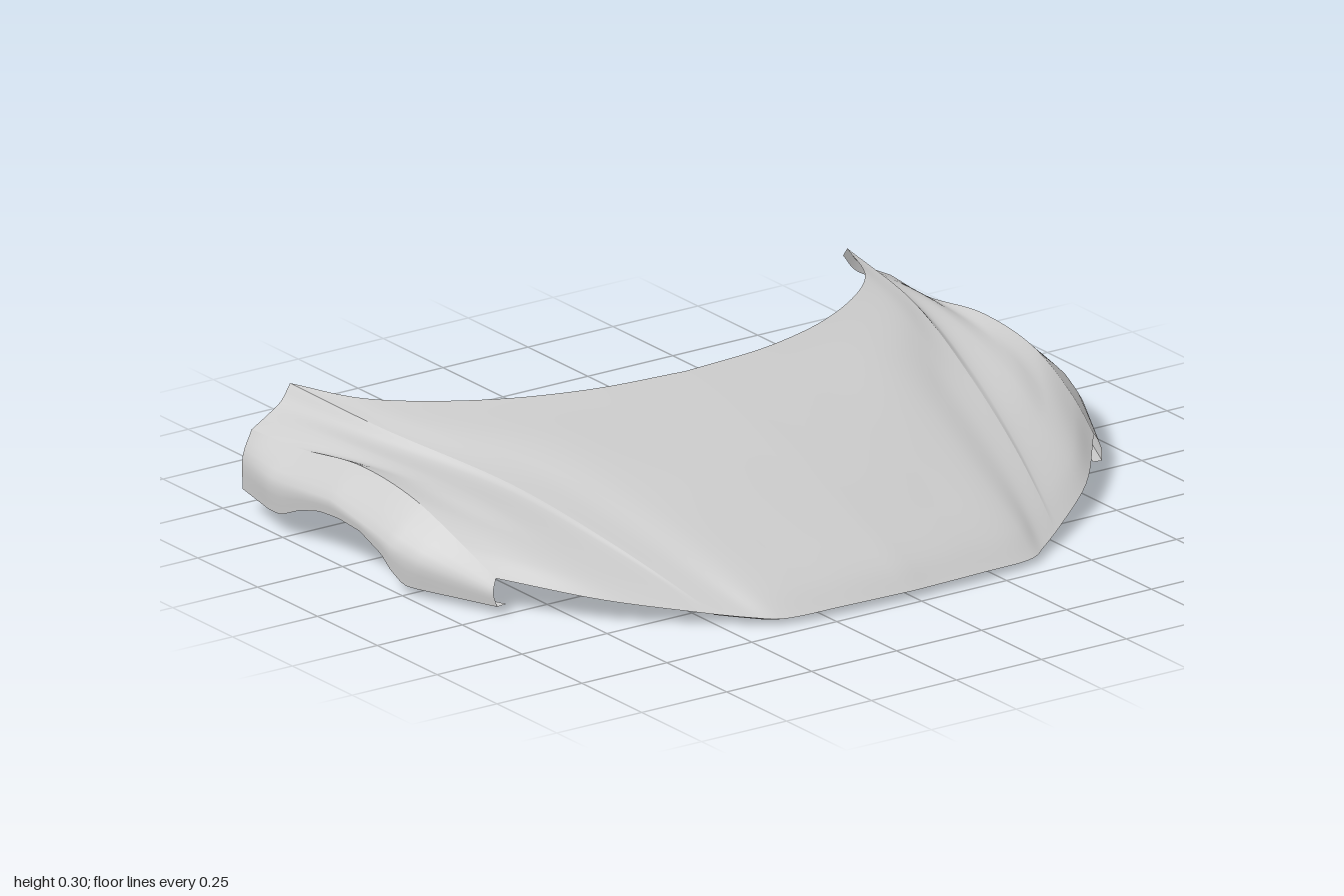
import * as THREE from 'three';

const V = (a) => new THREE.Vector3(...a);
const curve = (pts) => new THREE.CatmullRomCurve3(pts, false, 'centripetal');
const sample = (pts, n) => {
  const c = curve(pts.map(V));
  return Array.from({ length: n + 1 }, (_, i) => c.getPoint(i / n));
};

// linear lookup in a short table of [x, value]
function table(t, x) {
  if (x <= t[0][0]) return t[0][1];
  for (let i = 1; i < t.length; i++) {
    if (x <= t[i][0]) {
      const k = (x - t[i - 1][0]) / (t[i][0] - t[i - 1][0]);
      return t[i - 1][1] + k * (t[i][1] - t[i - 1][1]);
    }
  }
  return t[t.length - 1][1];
}

// smooth rows across: each column becomes a curve through the given rows
function across(rows, m) {
  const cols = rows[0].map((_, i) => curve(rows.map((r) => r[i])));
  return Array.from({ length: m + 1 }, (_, j) => cols.map((c) => c.getPoint(j / m)));
}

const mirror = (rows) => rows.map((r) => r.map((p) => new THREE.Vector3(p.x, p.y, -p.z))).reverse();

const material = new THREE.MeshStandardMaterial({ color: 0xcccccc, side: THREE.DoubleSide });

function skin(name, rows) {
  const n = rows[0].length;
  const pos = [], idx = [];
  rows.forEach((r) => r.forEach((p) => pos.push(p.x, p.y, p.z)));
  for (let j = 0; j < rows.length - 1; j++) {
    for (let i = 0; i < n - 1; i++) {
      const a = j * n + i, b = a + n;
      idx.push(a, b, a + 1, b, b + 1, a + 1);
    }
  }
  const g = new THREE.BufferGeometry();
  g.setAttribute('position', new THREE.Float32BufferAttribute(pos, 3));
  g.setIndex(idx);
  g.computeVertexNormals();
  const mesh = new THREE.Mesh(g, material);
  mesh.name = name;
  return mesh;
}

// lengthwise lines, rear to nose
const N = 56;
const centre = [[-.235, .295, 0], [0, .26, 0], [.25, .2, 0], [.5, .122, 0], [.65, .065, 0], [.72, .018, 0]];
const inner = [[-.265, .295, .27], [-.03, .26, .26], [.22, .203, .24], [.47, .123, .22], [.63, .065, .21], [.712, .018, .2]];
const corner = [[-.36, .293, .52], [-.1, .266, .49], [.15, .208, .45], [.4, .135, .41], [.6, .062, .385], [.69, .014, .37]];
const outer = [[-.53, .291, .735], [-.25, .267, .67], [.05, .21, .58], [.33, .134, .515], [.53, .066, .465], [.65, .018, .43]];
const crease = [[-.725, .29, .82], [-.4, .264, .78], [0, .212, .67], [.3, .135, .59], [.49, .07, .535], [.6, .026, .5]];
const step = [[-.722, .25, .85], [-.4, .24, .805], [0, .204, .69], [.29, .132, .606], [.475, .072, .55], [.585, .029, .52]];
const flank = [[-.72, .225, .89], [-.4, .232, .86], [0, .204, .79], [.2, .149, .75], [.34, .099, .73], [.43, .056, .71]];
const shoulder = [[-.715, .2, .94], [-.54, .201, .925], [-.3, .23, .92], [-.08, .21, .915], [.1, .145, .9], [.22, .085, .88]];

// fender side, looked up along x
const sideZ = [[-.71, .97], [-.56, 1], [-.05, 1], [.03, .98], [.24, .89]];
const wideY = [[-.71, .14], [-.51, .14], [-.3, .157], [-.1, .125], [.03, .095], [.24, .05]];
const archY = [[-.71, .055], [-.51, .055], [-.43, .09], [-.35, .112], [-.27, .118],
  [-.18, .112], [-.09, .08], [-.01, .022], [.24, .02]];

export function createModel() {
  const group = new THREE.Group();

  // hood: full width in one smooth sheet
  const half = across([centre, inner, corner, outer, crease].map((r) => sample(r, N)), 28);
  const hood = [...mirror(half).slice(0, -1), ...half];
  group.add(skin('hood', hood));

  // fender top and side
  const top = across([crease, step, flank, shoulder].map((r) => sample(r, N)), 18);
  const edge = top[top.length - 1];
  const sideRow = (yTable, endX) => edge.map((p, i) => {
    const k = Math.max(0, (i / N - .8) / .2);
    const x = p.x + .005 + (endX - .225) * k;
    return new THREE.Vector3(x, table(yTable, x), table(sideZ, x));
  });
  const wide = sideRow(wideY, .23);
  const bottom = sideRow(archY, .24);
  const side = across([edge, wide, bottom], 8);

  // folded lips along the open edges
  const fold = (line, dx, dy, dz) => line.map((p) => new THREE.Vector3(p.x + dx, p.y + dy, p.z * (1 - dz)));
  const archLip = [bottom, fold(bottom, 0, .002, .03)];
  const rearLine = [...top, ...side.slice(1)].map((r) => r[0]);
  const rearLip = [rearLine, fold(rearLine, .008, -.012, .022)];
  const topFront = top.map((r) => r[N]);
  const frontLip = [topFront, fold(topFront, -.03, -.008, .04)];

  const parts = { fenderTop: top, fenderSide: side, archLip, rearLip, fenderFrontLip: frontLip };
  for (const [name, rows] of Object.entries(parts)) {
    group.add(skin(name + 'Left', rows));
    group.add(skin(name + 'Right', mirror(rows)));
  }
  const nose = hood.map((r) => r[N]);
  group.add(skin('noseLip', [nose, fold(nose, -.035, -.014, .03)]));

  return group;
}
